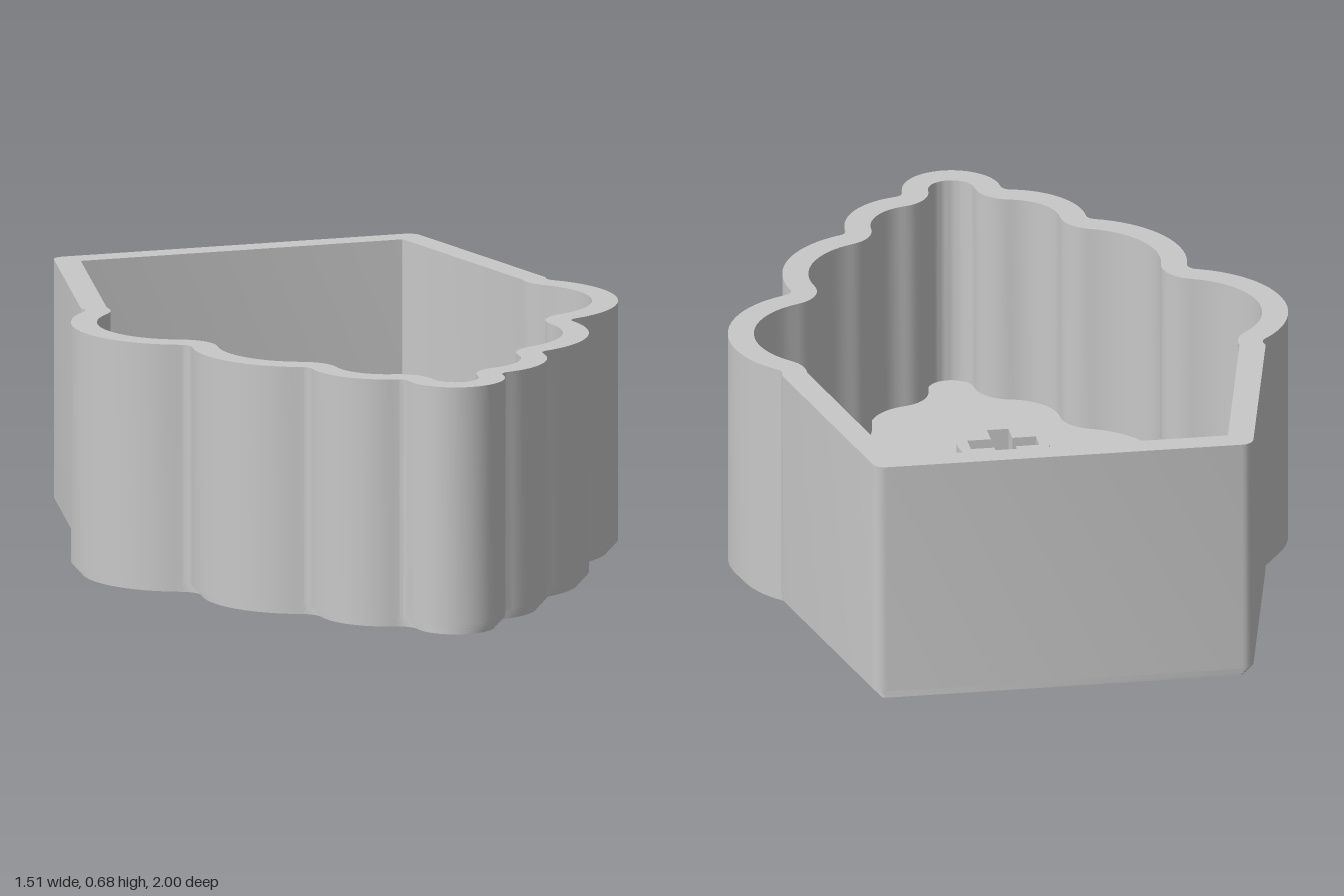
import * as THREE from 'three';
import { toCreasedNormals } from 'three/addons/utils/BufferGeometryUtils.js';

const WALL = 0.07, RIM = 0.68, FLOOR = 0.1, BASE = 0.03, FILLET = 0.03;
// Tapered side: half width at the back, widening per unit of z, and outward normal
const BACK = 0.5, SLOPE = 0.232, NX = 0.974, NZ = -0.226;

// Scalloped lobes on the +x side: [x, z, radius], back to front
const LOBES = [[0.453, -0.066, 0.303], [0.24, 0.317, 0.305], [0.114, 0.633, 0.212], [0, 0.867, 0.133]];

// Centre of a concave fillet touching two circles on their outer side
function filletCentre(a, b, f) {
  const dx = b[0] - a[0], dz = b[1] - a[1], D = Math.hypot(dx, dz);
  const r1 = a[2] + f, r2 = b[2] + f;
  const t = (D * D + r1 * r1 - r2 * r2) / (2 * D);
  const h = Math.sqrt(Math.max(0, r1 * r1 - t * t));
  return [a[0] + (dx * t + dz * h) / D, a[1] + (dz * t - dx * h) / D, f];
}

// Closed plan outline, moved inwards by d
function outline(d) {
  const pts = [];
  const arc = (c, a0, a1, n) => {
    const turn = Math.atan2(Math.sin(a1 - a0), Math.cos(a1 - a0));
    for (let i = 0; i <= n; i++) {
      const a = a0 + turn * i / n;
      pts.push([c[0] + c[2] * Math.cos(a), c[1] + c[2] * Math.sin(a)]);
    }
  };
  const dir = (a, b) => Math.atan2(b[1] - a[1], b[0] - a[0]);
  const sideDir = Math.atan2(NZ, NX);

  // Back corner
  const rc = Math.max(0.035 - d, 0.003), kc = d + rc;
  arc([BACK + 0.01 + SLOPE * kc - kc / NX, -1 + kc, rc], -Math.PI / 2, sideDir, 5);

  // Shoulder at the end of the tapered side, then the lobes
  const rs = Math.max(0.03 - d, 0.004), ks = d + rs, zs = -0.335;
  const shoulder = [BACK + SLOPE * (zs + 1) - NX * ks, zs - NZ * ks, rs];
  const circles = [shoulder, ...LOBES.map(([x, z, r]) => [x, z, r - d])];
  let from = sideDir;
  circles.forEach((c, i) => {
    const next = circles[i + 1];
    if (!next) return arc(c, from, Math.PI / 2, 14);
    const f = filletCentre(c, next, FILLET + d);
    arc(c, from, dir(c, f), i ? 18 : 4);
    arc(f, dir(f, c), dir(f, next), 8);
    from = dir(next, f);
  });

  // Mirror to -x, drop repeated points, and run counter-clockwise
  const all = [...pts, ...pts.slice(0, -1).reverse().map(([x, z]) => [-x, z])];
  return all
    .filter((p, i) => !i || Math.hypot(p[0] - all[i - 1][0], p[1] - all[i - 1][1]) > 1e-4)
    .map(([x, z]) => new THREE.Vector2(x, -z))
    .reverse();
}

export function createModel() {
  const group = new THREE.Group();
  const grey = new THREE.MeshStandardMaterial({ color: 0xc8c8c8 });
  grey.name = 'grey plastic';

  // Upright slab from a plan shape, between heights y0 and y1
  const slab = (name, shape, y0, y1) => {
    const g = new THREE.ExtrudeGeometry(shape, { depth: y1 - y0, bevelEnabled: false, curveSegments: 40 });
    g.rotateX(-Math.PI / 2);
    g.translate(0, y0, 0);
    const mesh = new THREE.Mesh(toCreasedNormals(g, 0.55), grey);
    mesh.name = name;
    group.add(mesh);
    return mesh;
  };

  // Hollow outer wall
  const wall = new THREE.Shape(outline(0));
  wall.holes.push(new THREE.Path(outline(WALL)));
  slab('wall', wall, BASE, RIM);

  // Floor inside the wall
  slab('floor', new THREE.Shape(outline(WALL - 0.008)), BASE, FLOOR);

  // Stepped bottom edge
  for (let i = 0; i < 3; i++) {
    slab('baseStep' + (i + 1), new THREE.Shape(outline(0.027 - i * 0.009)), i * 0.01, (i + 1) * 0.01);
  }

  // Round socket with a cross-shaped hole
  const socket = new THREE.Shape().absarc(0, 0, 0.125, 0, Math.PI * 2);
  const L = 0.093, W = 0.029;
  const cross = [];
  for (let i = 0; i < 4; i++) {
    for (const [x, y] of [[L, -W], [L, W], [W, W]]) {
      cross.push(new THREE.Vector2(x, y).rotateAround(new THREE.Vector2(), i * Math.PI / 2));
    }
  }
  socket.holes.push(new THREE.Path(cross));
  slab('socket', socket, FLOOR, 0.3).position.z = 0.01;

  return group;
}
